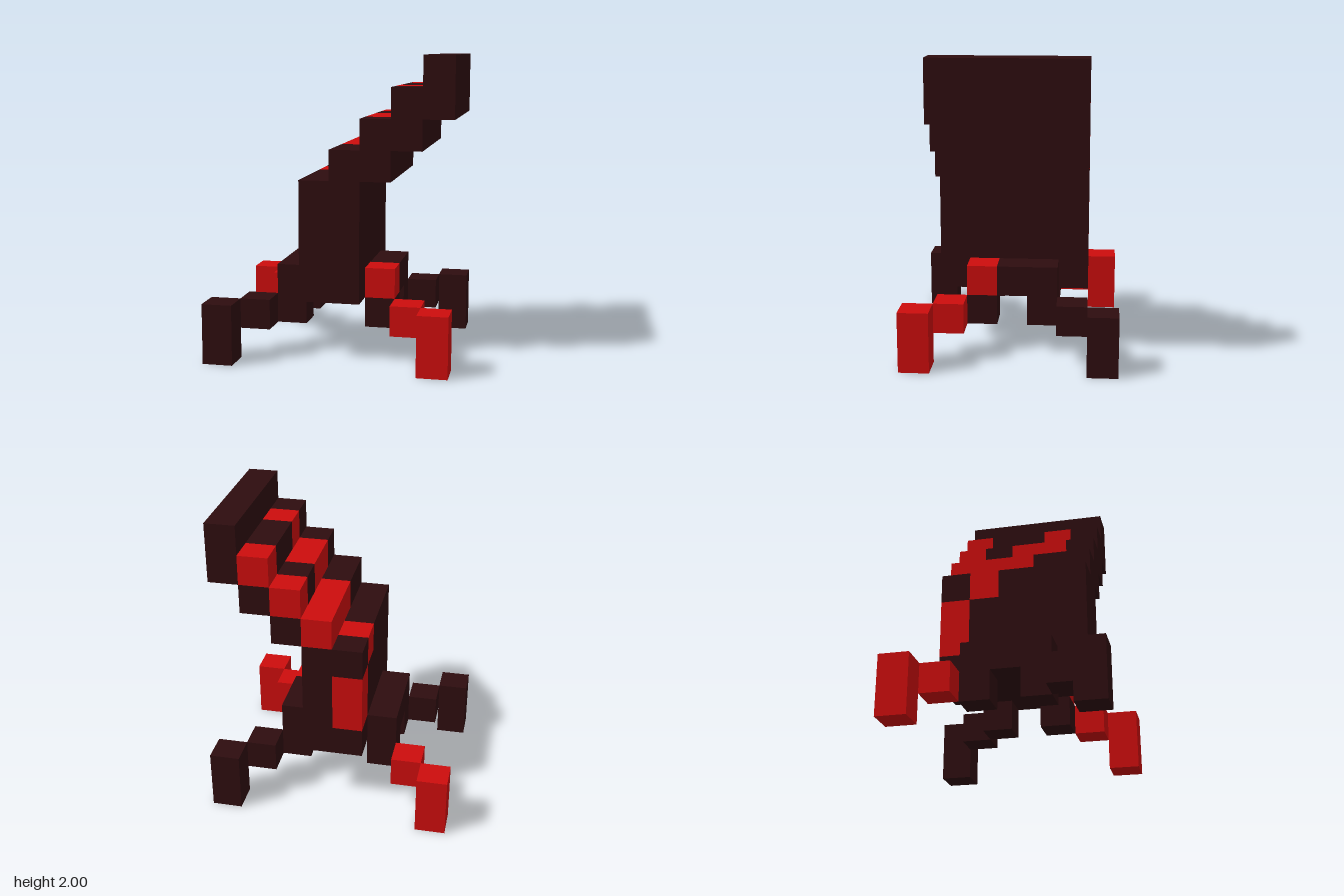
import * as THREE from 'three';

const U = 0.2; // edge of one block

export function createModel() {
  const model = new THREE.Group();
  model.name = 'steppedSculpture';

  const dark = new THREE.MeshStandardMaterial({ color: 0x2e0d0f });
  dark.name = 'dark maroon';
  const red = new THREE.MeshStandardMaterial({ color: 0xcc0d0d });
  red.name = 'bright red';

  // Box given by its minimum and maximum corners
  function block(parent, name, material, [x0, y0, z0], [x1, y1, z1]) {
    const mesh = new THREE.Mesh(new THREE.BoxGeometry(x1 - x0, y1 - y0, z1 - z0), material);
    mesh.position.set((x0 + x1) / 2, (y0 + y1) / 2, (z0 + z1) / 2);
    mesh.name = name;
    parent.add(mesh);
  }

  // Row of blocks from back to front, equal neighbours joined: D is dark, R is red
  function row(parent, name, pattern, x, y, height = U) {
    let z = -pattern.length * U / 2;
    for (const run of pattern.match(/D+|R+/g)) {
      const end = z + run.length * U;
      block(parent, name, run[0] === 'R' ? red : dark, [x, y, z], [x + U, y + height, end]);
      z = end;
    }
  }

  function group(name) {
    const g = new THREE.Group();
    g.name = name;
    model.add(g);
    return g;
  }

  // Upright trunk, with a red patch on its back corner
  const trunk = group('trunk');
  row(trunk, 'trunkFront', 'DDDDD', 0, 0.4, 0.8);
  row(trunk, 'trunkFoot', 'DDDDD', -U, 0.4);
  row(trunk, 'trunkPatch', 'RDDDD', -U, 0.6, 0.4);
  row(trunk, 'trunkTop', 'DRDDD', -U, 1.0);

  // Leaning staircase, red pattern on the upper blocks
  const stairs = group('stairs');
  ['RRRDD', 'RDRRD', 'RDDRD', 'DDDDD'].forEach((pattern, i) => {
    const x = i * U, y = 1.2 + i * U;
    row(stairs, 'stepTop', pattern, x, y);
    if (i > 0) row(stairs, 'stepUnderside', 'DDDDD', x, y - U);
  });

  // Side ledges above the hips
  const ledges = group('ledges');
  row(ledges, 'rightLedge', 'DDD', -0.4, 0.4);
  row(ledges, 'leftLedge', 'DDR', 0.2, 0.4);

  // Four splayed legs, one diagonal pair red
  for (const sx of [-1, 1]) {
    for (const sz of [-1, 1]) {
      const leg = group((sz > 0 ? 'front' : 'back') + (sx > 0 ? 'Left' : 'Right') + 'Leg');
      const colour = sx === sz ? red : dark;
      const part = (name, material, x, z, y) =>
        block(leg, name, material,
          [sx * x - U / 2, y, sz * z - U / 2], [sx * x + U / 2, 0.4, sz * z + U / 2]);
      part('hip', dark, 0.3, 0.2, 0.2);
      part('knee', colour, 0.5, 0.4, 0.2);
      part('foot', colour, 0.7, 0.6, 0);
    }
  }

  return model;
}
